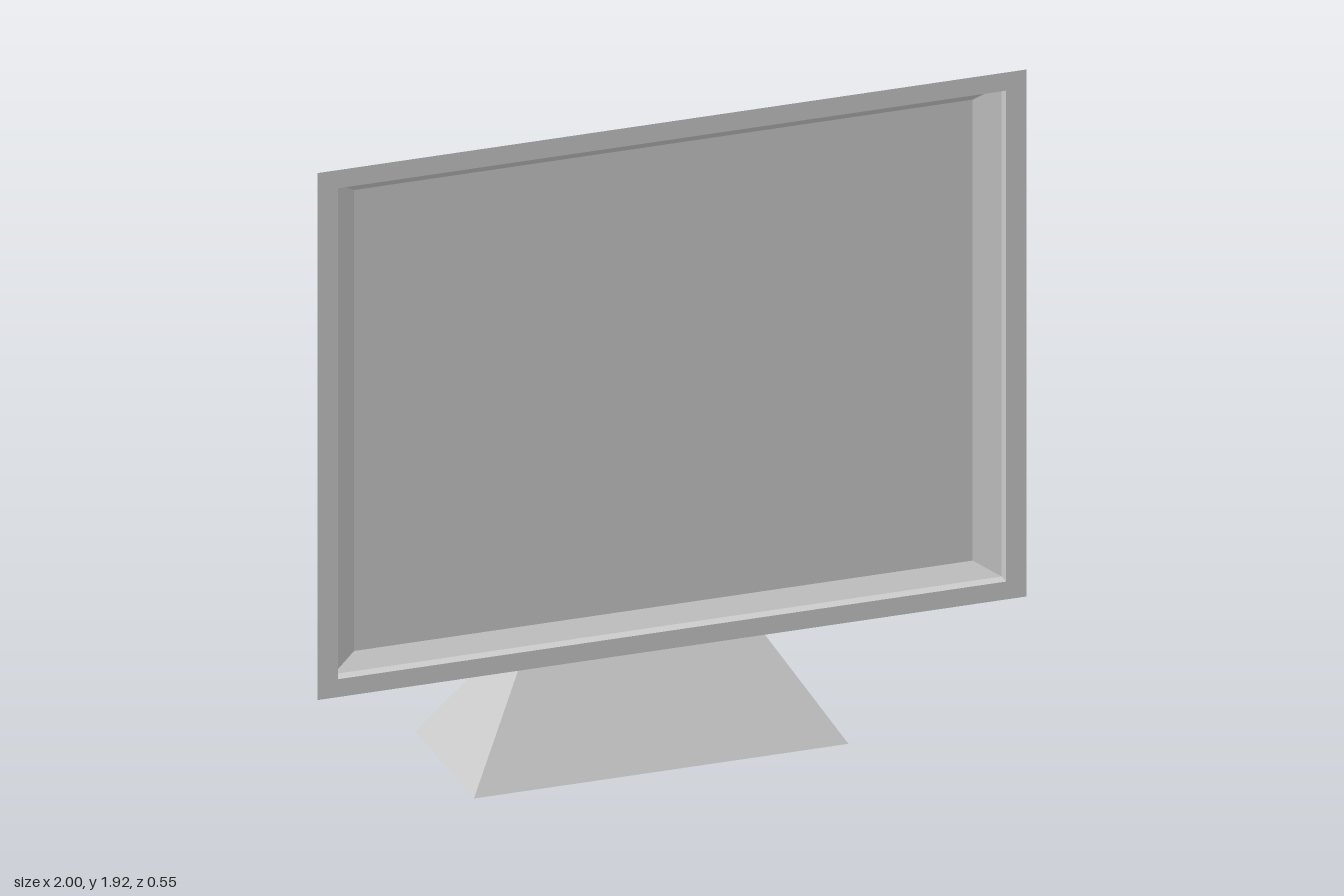
import * as THREE from 'three';

const grey = new THREE.MeshStandardMaterial({ color: 0xcccccc, flatShading: true });

// Rectangular rings [halfWidth, yMin, yMax, z] joined in order, with optional end caps
function loft(name, rings, frontCap = false, backCap = false) {
  const pos = [];
  const corners = rings.map(([w, y0, y1, z]) => [[-w, y0, z], [w, y0, z], [w, y1, z], [-w, y1, z]]);
  const quad = (a, b, c, d) => pos.push(...a, ...b, ...c, ...a, ...c, ...d);
  for (let r = 0; r < corners.length - 1; r++) {
    const a = corners[r], b = corners[r + 1];
    for (let i = 0; i < 4; i++) {
      const j = (i + 1) % 4;
      quad(a[i], b[i], b[j], a[j]);
    }
  }
  if (frontCap) quad(...corners[0]);
  if (backCap) quad(...corners[corners.length - 1].slice().reverse());
  const geo = new THREE.BufferGeometry();
  geo.setAttribute('position', new THREE.Float32BufferAttribute(pos, 3));
  geo.computeVertexNormals();
  const mesh = new THREE.Mesh(geo, grey);
  mesh.name = name;
  return mesh;
}

export function createModel() {
  const model = new THREE.Group();
  model.name = 'monitor';

  const screenEdge = [0.872, 0.488, 1.828, 0.207];
  const innerLip = [0.942, 0.445, 1.872, 0.24];
  const opening = [0.942, 0.445, 1.872, 0.275];
  const outerEdge = [1, 0.393, 1.925, 0.275];
  const rimBack = [0.942, 0.445, 1.872, 0.207];

  // Recessed display with its sloping border
  model.add(loft('screen', [screenEdge, innerLip], true));
  // Frame: inner wall, flat front, tapered outside
  model.add(loft('bezel', [innerLip, opening, outerEdge, innerLip]));
  // Housing: straight rim, then the bevelled rear panel
  model.add(loft('backShell', [innerLip, rimBack, screenEdge, [0.738, 0.595, 1.725, 0.132]], false, true));

  // Hooked neck: side profile (z, y) extruded across x
  const profile = new THREE.Shape([
    [-0.1, 0.315], [0.015, 0.315], [0.015, 0.81], [0.132, 0.81], [0.132, 1.19], [-0.1, 1.19],
  ].map(([z, y]) => new THREE.Vector2(-z, y)));
  const neckGeo = new THREE.ExtrudeGeometry(profile, { depth: 0.65, bevelEnabled: false });
  neckGeo.translate(0, 0, -0.325).rotateY(Math.PI / 2);
  const neck = new THREE.Mesh(neckGeo, grey);
  neck.name = 'neck';
  model.add(neck);

  // Flared foot, lofted along z and turned upright
  const foot = loft('foot', [[0.325, -0.015, 0.1, 0.315], [0.528, -0.19, 0.275, 0]], true, true);
  foot.geometry.rotateX(-Math.PI / 2);
  model.add(foot);

  return model;
}
